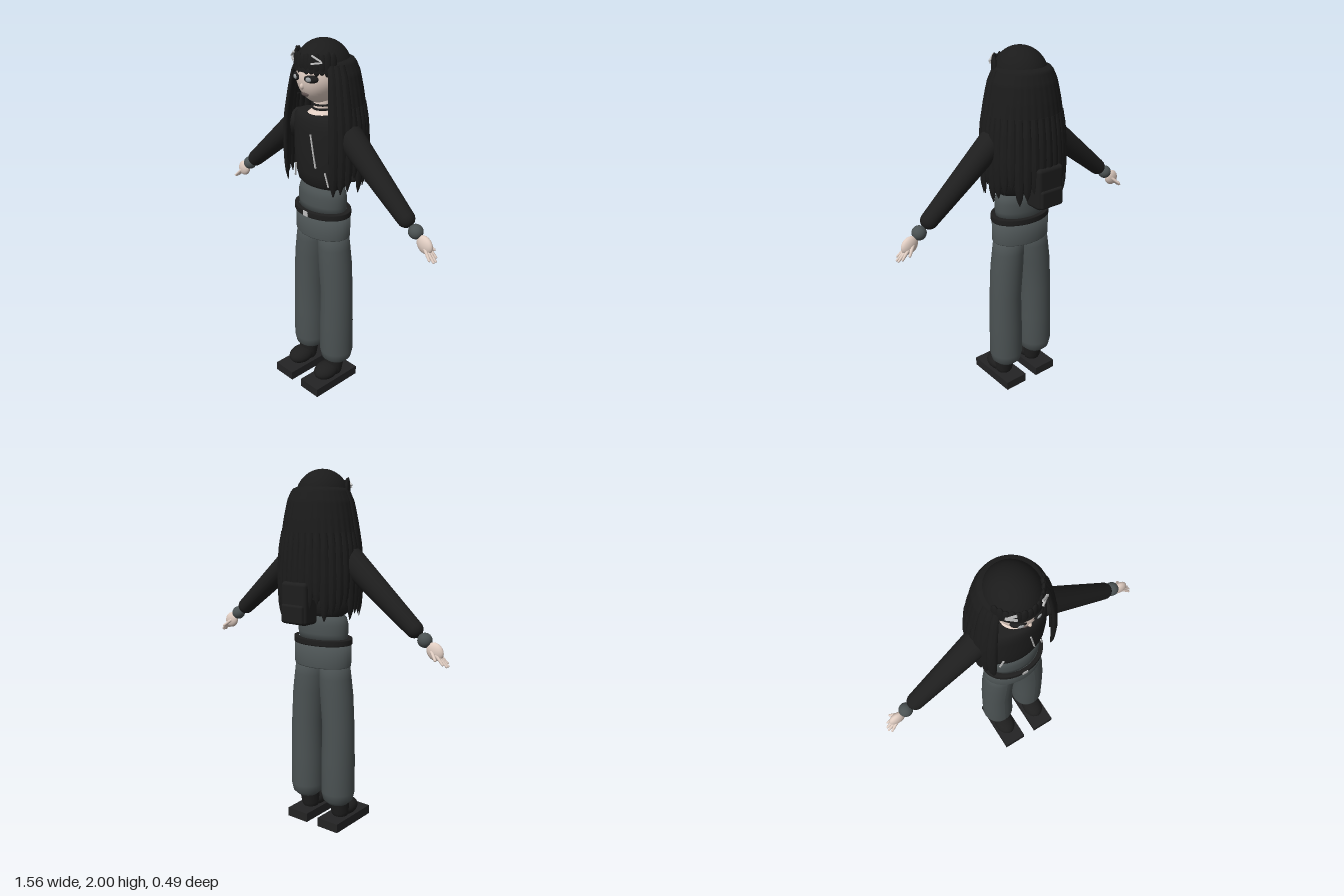
import * as THREE from 'three';
import { ParametricGeometry } from 'three/addons/geometries/ParametricGeometry.js';
import { RoundedBoxGeometry } from 'three/addons/geometries/RoundedBoxGeometry.js';

const mat = (name, color, side = THREE.FrontSide) =>
  new THREE.MeshStandardMaterial({ name, color, side });

export function createModel() {
  const model = new THREE.Group();
  model.name = 'figure';
  const skin = mat('skin', 0xe0cdc2);
  const hairBlack = mat('hair black', 0x1b1b1b, THREE.DoubleSide);
  const cloth = mat('jacket black', 0x1e1e1e);
  const grey = mat('trouser grey', 0x4b5253);
  const rubber = mat('sole black', 0x232324);
  const metal = mat('metal', 0xbdbdbd);
  const lipTone = mat('lip', 0x5c504e);
  const eyeTone = mat('eye grey', 0x9ea2a4);

  const add = (name, geo, material, x = 0, y = 0, z = 0) => {
    const m = new THREE.Mesh(geo, material);
    m.name = name;
    m.position.set(x, y, z);
    model.add(m);
    return m;
  };
  const ball = (name, material, p, r, seg = 24) => {
    const m = add(name, new THREE.SphereGeometry(1, seg, Math.ceil(seg * 0.67)), material, ...p);
    m.scale.set(...r);
    return m;
  };
  // Tapered limb between two points with rounded ends
  const limb = (name, material, a, b, ra, rb, seg = 24) => {
    const A = new THREE.Vector3(...a), B = new THREE.Vector3(...b);
    const len = A.distanceTo(B), prof = [];
    for (let i = 0; i <= 6; i++) {
      const t = -Math.PI / 2 + (i / 6) * Math.PI / 2;
      prof.push(new THREE.Vector2(Math.cos(t) * ra, Math.sin(t) * ra));
    }
    for (let i = 0; i <= 6; i++) {
      const t = (i / 6) * Math.PI / 2;
      prof.push(new THREE.Vector2(Math.cos(t) * rb, len + Math.sin(t) * rb));
    }
    const m = add(name, new THREE.LatheGeometry(prof, seg), material, ...a);
    m.quaternion.setFromUnitVectors(new THREE.Vector3(0, 1, 0), B.sub(A).normalize());
    return m;
  };
  const lathe = (name, material, pts, zScale, z) => {
    const m = add(name, new THREE.LatheGeometry(pts.map(p => new THREE.Vector2(...p)), 40), material, 0, 0, z);
    m.scale.z = zScale;
    return m;
  };

  // Torso, waist, skirt band and belt
  lathe('jacketBody', cloth, [[0, 1.215], [0.12, 1.22], [0.16, 1.25], [0.178, 1.31], [0.185, 1.42],
    [0.185, 1.54], [0.18, 1.6], [0.155, 1.622], [0, 1.63]], 0.62, 0.025);
  lathe('waist', grey, [[0, 1.06], [0.15, 1.08], [0.156, 1.13], [0.156, 1.18], [0.146, 1.215],
    [0.12, 1.235], [0, 1.24]], 0.65, 0.028);
  lathe('hipBand', grey, [[0, 0.945], [0.172, 0.945], [0.176, 0.95], [0.176, 1.08], [0, 1.085]], 0.68, 0.025);
  lathe('belt', cloth, [[0.15, 1.07], [0.179, 1.07], [0.18, 1.075], [0.18, 1.097], [0.179, 1.102],
    [0.15, 1.102]], 0.71, 0.027);
  add('buckle', new THREE.BoxGeometry(0.034, 0.028, 0.009), metal, 0, 1.086, 0.154);

  // Slanted zip and pocket trims: x, y, length, tilt, turn
  for (const [x, y, len, tilt, turn] of [[0.045, 1.445, 0.18, 0.17, 0.15],
    [-0.12, 1.3, 0.08, -0.25, -0.5], [0.12, 1.3, 0.08, 0.25, 0.5]]) {
    const zip = add('zip', new THREE.BoxGeometry(0.007, len, 0.008), metal,
      x, y, 0.026 + 0.115 * Math.sqrt(1 - (x / 0.183) ** 2));
    zip.rotation.set(0, turn, tilt);
  }

  // Legs, shoes, arms and hands
  for (const s of [1, -1]) {
    const leg = new THREE.LatheGeometry([[0, 0.13], [0.06, 0.137], [0.086, 0.163], [0.096, 0.21], [0.095, 0.4],
      [0.091, 0.6], [0.093, 0.78], [0.09, 0.88], [0.083, 0.96], [0, 0.965]].map(p => new THREE.Vector2(...p)), 32);
    const v = leg.attributes.position;
    for (let i = 0; i < v.count; i++)
      v.setX(i, v.getX(i) + s * (0.111 - 0.026 * THREE.MathUtils.smoothstep(v.getY(i), 0.6, 0.96)));
    leg.computeVertexNormals();
    add('trouserLeg', leg, grey, 0, 0, 0.025);

    add('shoeSole', new THREE.BoxGeometry(0.14, 0.052, 0.32), rubber, s * 0.11, 0.026, 0.085);
    ball('shoeToe', cloth, [s * 0.11, 0.085, 0.105], [0.062, 0.05, 0.082]);
    limb('shoeAnkle', cloth, [s * 0.11, 0.08, 0.05], [s * 0.11, 0.15, 0.04], 0.053, 0.058);

    limb('sleeve', cloth, [s * 0.19, 1.535, 0.02], [s * 0.583, 1.213, 0.022], 0.072, 0.046);
    ball('cuff', grey, [s * 0.647, 1.165, 0.02], [0.038, 0.038, 0.038]);
    ball('palm', skin, [s * 0.706, 1.115, 0.02], [0.05, 0.043, 0.024]).rotation.z = -s * 0.75;
    [0.05, 0.033, 0.016, -0.002].forEach((z, i) =>
      limb('finger', skin, [s * 0.715, 1.105, 0.02 + (z - 0.024) * 0.5],
        [s * (i % 3 ? 0.775 : 0.762), i % 3 ? 1.049 : 1.06, z], 0.01, 0.006, 10));
    limb('thumb', skin, [s * 0.69, 1.12, 0.008], [s * 0.732, 1.082, -0.024], 0.01, 0.007, 10);
  }

  // Neck and chokers
  add('neck', new THREE.CylinderGeometry(0.046, 0.05, 0.13, 24), skin, 0, 1.68, 0.025);
  add('neckline', new THREE.CylinderGeometry(0.055, 0.075, 0.015, 24), skin, 0, 1.633, 0.03);
  for (const y of [1.648, 1.67])
    add('choker', new THREE.TorusGeometry(0.05, 0.006, 8, 32), cloth, 0, y, 0.025).rotation.x = Math.PI / 2;

  // Face, tapering to the chin
  const face = new THREE.SphereGeometry(1, 40, 28);
  const fp = face.attributes.position;
  for (let i = 0; i < fp.count; i++) {
    const d = Math.max(0, -fp.getY(i));
    fp.setXYZ(i, fp.getX(i) * 0.12 * (1 - 0.3 * d * d), fp.getY(i) * 0.145, fp.getZ(i) * 0.14);
  }
  face.computeVertexNormals();
  add('head', face, skin, 0, 1.82, 0.03);
  for (const s of [1, -1]) {
    ball('eyeLiner', cloth, [s * 0.049, 1.823, 0.149], [0.04, 0.021, 0.02]).rotation.y = s * 0.35;
    ball('iris', eyeTone, [s * 0.048, 1.822, 0.166], [0.017, 0.012, 0.008], 16).rotation.y = s * 0.3;
    ball('ear', skin, [s * 0.118, 1.8, 0.02], [0.014, 0.03, 0.02], 14);
  }
  ball('nose', skin, [0, 1.782, 0.164], [0.01, 0.016, 0.013], 14);
  ball('lips', lipTone, [0, 1.738, 0.147], [0.026, 0.01, 0.008], 16);

  // Crown and fringe
  const crown = add('hairCrown', new THREE.SphereGeometry(1, 40, 20, 0, Math.PI * 2, 0, Math.PI * 0.49),
    hairBlack, 0, 1.85, 0.022);
  crown.scale.set(0.14, 0.15, 0.152);
  for (let i = -6; i <= 6; i++) {
    const a = i * 0.2, drop = 0.045 + 0.008 * Math.abs(i % 2) + 0.002 * Math.abs(i);
    const lock = ball('fringeLock', hairBlack, [Math.sin(a) * 0.132, 1.895, 0.022 + Math.cos(a) * 0.14],
      [0.021, drop, 0.012], 14);
    lock.rotation.y = a;
  }
  // Crossed hair clips
  for (const s of [1, -1]) for (const [y, tilt] of [[1.928, -0.35], [1.905, 0.3]]) {
    const clip = add('hairClip', new THREE.BoxGeometry(0.056, 0.009, 0.009), metal, s * 0.086, y, 0.148);
    clip.rotation.set(-0.3, s * 0.6, s * tilt);
  }

  // Long hair: rows of height, half width, half depth
  const rows = [[1.912, 0.11, 0.11], [1.897, 0.152, 0.148], [1.84, 0.18, 0.17], [1.75, 0.2, 0.188],
    [1.6, 0.226, 0.208], [1.45, 0.234, 0.216], [1.3, 0.232, 0.217], [1.2, 0.222, 0.21]];
  const hairPoint = (y, a, k, target) => {
    let i = 0;
    while (i < rows.length - 2 && y < rows[i + 1][0]) i++;
    const [p, q] = [rows[i], rows[i + 1]], t = (p[0] - y) / (p[0] - q[0]);
    const rx = p[1] + (q[1] - p[1]) * t, rz = p[2] + (q[2] - p[2]) * t;
    return target.set(Math.sin(a) * rx * k, y, -Math.cos(a) * rz * k);
  };
  const edge = 2.2;
  add('backHair', new ParametricGeometry((u, v, out) => {
    const a = (u - 0.5) * 2 * edge;
    const y = 1.912 - Math.pow(v, 1.2) * 0.572;
    hairPoint(y, a, 0.985 + 0.012 * v * Math.cos(u * 24 * Math.PI * 2), out);
  }, 144, 24), hairBlack);

  // Tapered locks hanging from the sheet
  const lockAt = (a, top, bottom, width) => {
    const g = new THREE.CylinderGeometry(1, 1, 1, 10, 12);
    const pos = g.attributes.position, c = new THREE.Vector3();
    for (let i = 0; i < pos.count; i++) {
      const t = 0.5 - pos.getY(i);
      const w = width * (t < 0.6 ? 0.6 + 0.4 * Math.sin(t / 0.6 * Math.PI / 2) : Math.sqrt(Math.max(0.01, 1 - ((t - 0.6) / 0.4) ** 2)));
      const px = pos.getX(i) * w, pz = pos.getZ(i) * w * 0.5;
      hairPoint(top + (bottom - top) * t, a, 0.965, c);
      pos.setXYZ(i, c.x + px * Math.cos(a) + pz * Math.sin(a), c.y, c.z + px * Math.sin(a) - pz * Math.cos(a));
    }
    g.computeVertexNormals();
    add('hairLock', g, hairBlack);
  };
  for (let i = 0; i <= 24; i++) {
    const a = (i / 24 - 0.5) * 2 * edge, front = i < 3 || i > 21;
    lockAt(a, front ? 1.89 : 1.68, 1.225 + 0.03 * ((i * 7) % 4) * (front ? 0.4 : 1), front ? 0.03 : 0.027);
  }

  // Small backpack with front pocket
  add('backpack', new RoundedBoxGeometry(0.165, 0.225, 0.11, 3, 0.02), cloth, 0, 1.315, -0.178);
  add('backpackPocket', new RoundedBoxGeometry(0.145, 0.1, 0.05, 3, 0.012), cloth, 0, 1.26, -0.22);

  return model;
}
